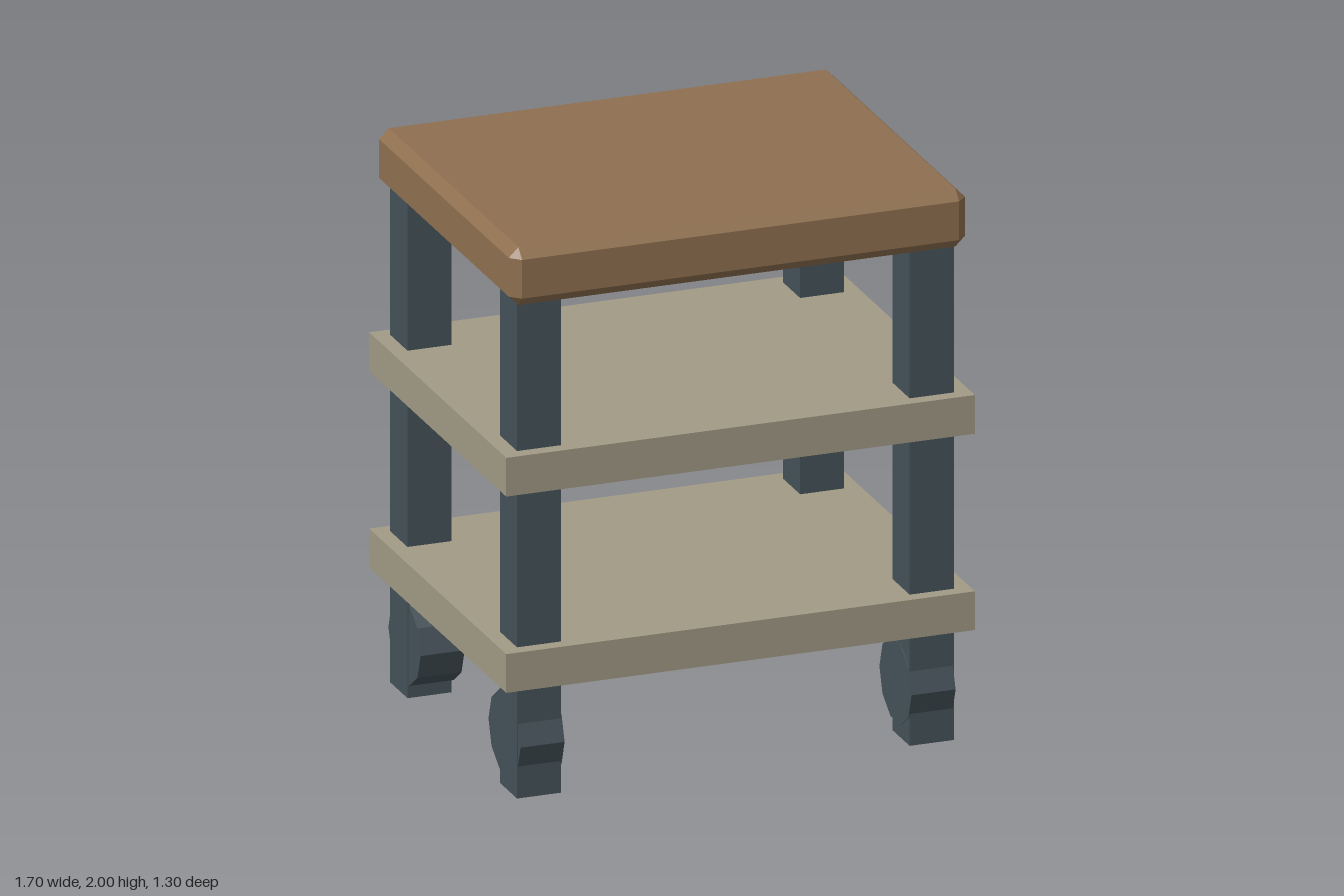
import * as THREE from 'three';
import { ConvexGeometry } from 'three/addons/geometries/ConvexGeometry.js';

const material = (color) => new THREE.MeshStandardMaterial({ color, flatShading: true });

// Box with chamfered edges and triangular corners
function chamferedBox(w, h, d, c) {
  const points = [];
  for (const sx of [-1, 1]) for (const sy of [-1, 1]) for (const sz of [-1, 1]) {
    const x = w / 2, y = h / 2, z = d / 2;
    points.push(
      new THREE.Vector3(sx * x, sy * (y - c), sz * (z - c)),
      new THREE.Vector3(sx * (x - c), sy * y, sz * (z - c)),
      new THREE.Vector3(sx * (x - c), sy * (y - c), sz * z));
  }
  return new ConvexGeometry(points);
}

export function createModel() {
  const group = new THREE.Group();
  const wood = material(0x8f7050);
  const board = material(0xa29a85);
  const metal = material(0x455259);

  const add = (name, geometry, mat, x, y, z) => {
    const mesh = new THREE.Mesh(geometry, mat);
    mesh.name = name;
    mesh.position.set(x, y, z);
    group.add(mesh);
  };

  // Thick worktop with chamfered edges
  add('worktop', chamferedBox(1.655, 0.21, 1.3, 0.035), wood, 0, 1.895, 0);

  // Two plain shelves
  const shelf = new THREE.BoxGeometry(1.7, 0.14, 1.3);
  add('lowerShelf', shelf, board, 0, 0.477, 0);
  add('upperShelf', shelf, board, 0, 1.187, 0);

  // Square legs, each with a ten-sided wheel set inward
  const leg = new THREE.BoxGeometry(0.16, 1.8, 0.164);
  const wheel = new THREE.CylinderGeometry(0.152, 0.152, 0.16, 10).rotateZ(Math.PI / 2);
  for (const sx of [-1, 1]) for (const sz of [-1, 1]) {
    const place = (sz > 0 ? 'front' : 'back') + (sx > 0 ? 'Left' : 'Right');
    add(place + 'Leg', leg, metal, sx * 0.712, 0.9, sz * 0.519);
    add(place + 'Wheel', wheel, metal, sx * 0.709, 0.192, sz * 0.474);
  }
  return group;
}
